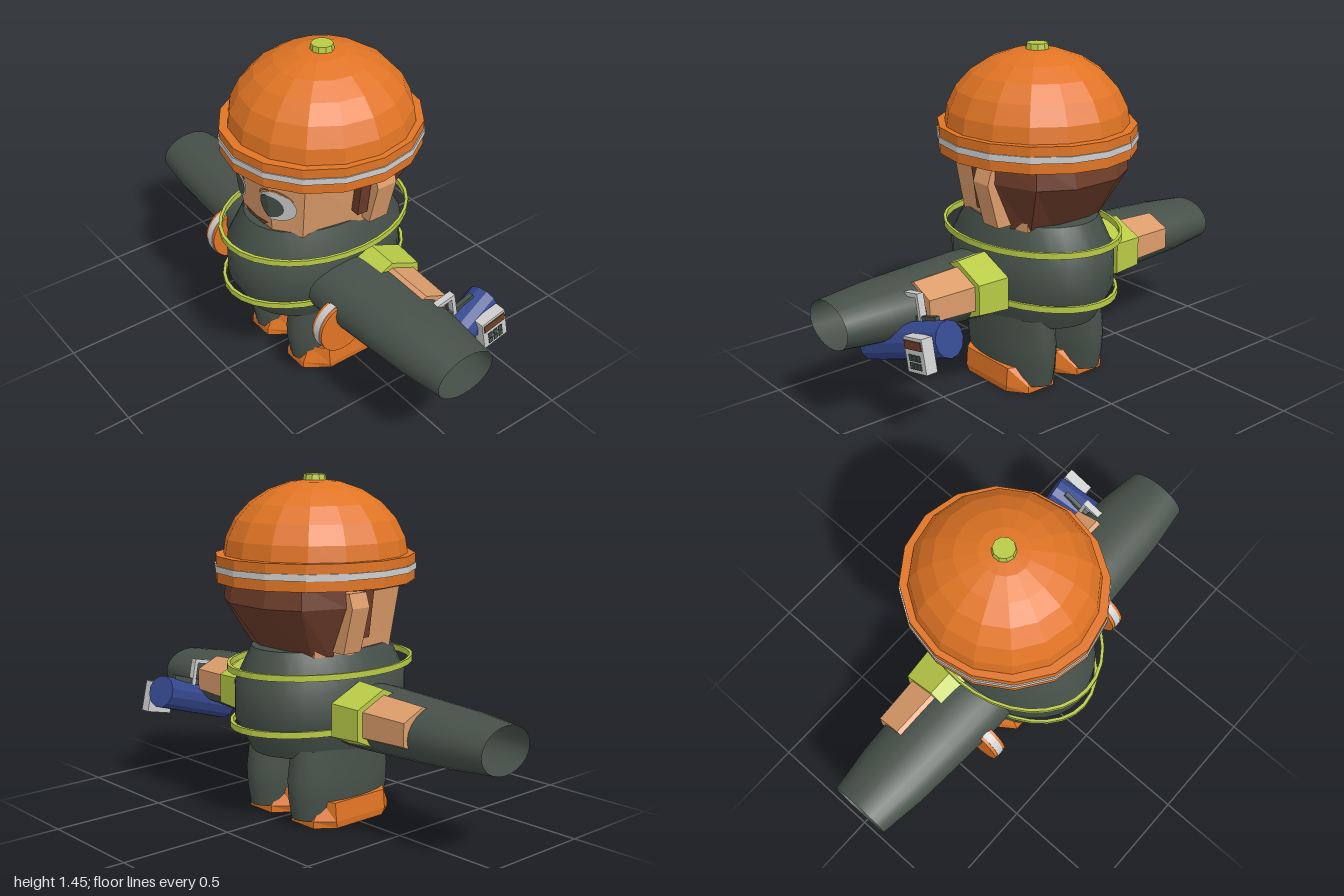
import * as THREE from 'three';

const mat = (name, color, side = THREE.FrontSide) => {
  const m = new THREE.MeshStandardMaterial({ color, side });
  m.name = name;
  return m;
};

// Hard-edged normals
const flat = (g) => {
  const n = g.index ? g.toNonIndexed() : g;
  n.computeVertexNormals();
  return n;
};

const lathe = (pts, seg) => new THREE.LatheGeometry(pts.map((p) => new THREE.Vector2(p[0], p[1])), seg);

// Loft of mirrored cross-sections: each ring is { y, half: [[x, z], ...] } from front to back
function loft(rings) {
  const full = rings.map(({ y, half }) =>
    [...half, ...half.slice().reverse().map(([x, z]) => [-x, z])].map(([x, z]) => [x, y, z]));
  const n = full[0].length, v = [];
  const tri = (a, b, c) => v.push(...a, ...b, ...c);
  for (let r = 0; r < full.length - 1; r++) {
    for (let i = 0; i < n; i++) {
      const j = (i + 1) % n;
      tri(full[r][i], full[r][j], full[r + 1][i]);
      tri(full[r][j], full[r + 1][j], full[r + 1][i]);
    }
  }
  const lo = full[0], hi = full[full.length - 1];
  for (let i = 1; i < n - 1; i++) {
    tri(lo[0], lo[i + 1], lo[i]);
    tri(hi[0], hi[i], hi[i + 1]);
  }
  const g = new THREE.BufferGeometry();
  g.setAttribute('position', new THREE.Float32BufferAttribute(v, 3));
  g.computeVertexNormals();
  return g;
}

// Cross-section of the head at height y
function headHalf(y, grow = 0) {
  const t = (y - 0.72) / 0.32;
  return [
    [0.10 + 0.02 * t + grow / 2, 0.31 + 0.035 * t + grow],
    [0.20 + 0.05 * t + grow, 0.23 + 0.02 * t + grow],
    [0.25 + 0.045 * t + grow, -0.04],
    [0.20 + 0.04 * t, -0.2],
  ];
}

// Lay a flat plate on the front of the face
function drape(g, lift) {
  const p = g.attributes.position;
  for (let i = 0; i < p.count; i++) {
    const x = Math.abs(p.getX(i));
    const [[xa, za], [xb, zb]] = headHalf(p.getY(i));
    p.setZ(i, lift + (x < xa ? za : za + ((zb - za) * (x - xa)) / (xb - xa)));
  }
  g.computeVertexNormals();
  return g;
}

export function createModel() {
  const model = new THREE.Group();
  const orange = mat('orange', 0xe07424), dark = mat('dark green', 0x465049, THREE.DoubleSide);
  const skin = mat('skin', 0xdc9c6a), brown = mat('brown', 0x6e3d2a);
  const silver = mat('silver', 0xcdcdcd), lime = mat('lime', 0xb8ca46);
  const blue = mat('blue', 0x34488f), brow = mat('brow', 0xb9713f);

  const add = (name, g, m, x = 0, y = 0, z = 0, parent = model) => {
    const mesh = new THREE.Mesh(g, m);
    mesh.name = name;
    mesh.position.set(x, y, z);
    parent.add(mesh);
    return mesh;
  };

  // Helmet
  const dome = [];
  for (let i = 0; i <= 6; i++) {
    const a = (i / 6) * Math.PI / 2;
    dome.push([0.385 * Math.cos(a), 1.1 + 0.328 * Math.sin(a)]);
  }
  add('helmetDome', flat(lathe(dome, 16).scale(1, 1, 1.03)), orange, 0, 0, -0.015);
  add('helmetRim', flat(lathe([[0, 1.03], [0.38, 1.01], [0.408, 1.01], [0.408, 1.12], [0.37, 1.12]], 16)
    .scale(1, 1, 1.06)), orange, 0, 0, -0.015);
  add('helmetStripe', flat(lathe([[0.4, 1.053], [0.413, 1.053], [0.413, 1.08], [0.4, 1.08]], 16)
    .scale(1, 1, 1.06)), silver, 0, 0, -0.015);
  add('helmetButton', flat(new THREE.CylinderGeometry(0.045, 0.052, 0.04, 10)), lime, 0, 1.427, -0.018);

  // Head and hair
  add('head', loft([0.72, 1.04].map((y) => ({ y, half: headHalf(y) }))), skin);
  add('fringe', loft([0.98, 1.03].map((y) => ({ y, half: headHalf(y, 0.012) }))), brown);
  add('hair', loft([
    { y: 0.70, half: [[0.20, -0.10], [0.22, -0.12], [0.18, -0.19], [0.08, -0.22]] },
    { y: 0.93, half: [[0.27, -0.12], [0.315, -0.13], [0.25, -0.31], [0.11, -0.39]] },
    { y: 1.03, half: [[0.27, -0.12], [0.31, -0.13], [0.24, -0.30], [0.11, -0.37]] },
  ]), brown);

  const mouth = new THREE.Shape([[-0.09, 0.772], [-0.05, 0.742], [0, 0.735], [0.05, 0.742], [0.09, 0.772], [0, 0.757]]
    .map((p) => new THREE.Vector2(...p)));
  add('mouth', drape(new THREE.ShapeGeometry(mouth), 0.005), brown);

  for (const s of [1, -1]) {
    const side = s > 0 ? 'left' : 'right';
    // Ears and sideburns
    const ear = new THREE.Shape([[0.22, 0.74], [0.3, 0.74], [0.35, 0.93], [0.33, 0.99], [0.22, 0.99]]
      .map(([x, y]) => new THREE.Vector2(s * x, y)));
    add(side + 'Ear', new THREE.ExtrudeGeometry(ear, { depth: 0.095, bevelEnabled: false }), skin, 0, 0, -0.13);
    const burn = add(side + 'Sideburn', new THREE.BoxGeometry(0.04, 0.22, 0.05), brown, s * 0.287, 0.905, -0.005);
    burn.rotation.z = -s * 0.14;

    // Eyes
    const disc = (rx, ry, x, y, lift) =>
      drape(new THREE.RingGeometry(0.001, 1, 24, 6).scale(rx, ry, 1).translate(s * x, y, 0), lift);
    add(side + 'EyeWhite', disc(0.075, 0.073, 0.128, 0.872, 0.005), silver);
    add(side + 'Iris', disc(0.052, 0.056, 0.11, 0.87, 0.009), dark);
    add(side + 'Brow', drape(new THREE.RingGeometry(0.9, 1, 16, 1, 0.5, 2.14).scale(0.085, 0.09, 1)
      .translate(s * 0.125, 0.87, 0), 0.006), brow);

    // Sleeve: open tapering tube
    const tube = lathe([[0.135, 0.2], [0.135, 0.35], [0.127, 0.55], [0.116, 0.8], [0.097, 1]], 24);
    tube.scale(1, 1, 1.45).rotateZ(-s * Math.PI / 2);
    add(side + 'Sleeve', tube, dark, 0, 0.458, 0.045);

    // Forearm and cuff
    const prism = (r1, r2, h, wide) => flat(new THREE.CylinderGeometry(r1, r2, h, 6)
      .rotateY(Math.PI / 6).scale(1, 1, wide).rotateZ(-s * Math.PI / 2));
    add(side + 'Cuff', prism(0.128, 0.138, 0.14, 1.3), lime, s * 0.375, 0.483, -0.045);
    add(side + 'Forearm', prism(0.095, 0.108, 0.3, 1.3), skin, s * 0.51, 0.483, -0.045);

    // Orange wheel with a pale stripe around its edge
    const wheel = (r, w) => new THREE.CylinderGeometry(r, r, w, 24).rotateZ(Math.PI / 2);
    add(side + 'Wheel', wheel(0.115, 0.062), orange, s * 0.402, 0.385, 0.197);
    add(side + 'WheelStripe', wheel(0.118, 0.034), silver, s * 0.402, 0.385, 0.197);

    // Legs and boots
    add(side + 'Leg', lathe([[0, 0.03], [0.245, 0.03], [0.245, 0.03], [0.262, 0.12], [0.266, 0.2], [0.25, 0.33]], 24)
      .scale(0.46, 1, 1), dark, s * 0.135, 0, -0.005);
    add(side + 'Boot', loft([
      { y: 0, half: [[0.06, 0.232], [0.13, 0.13], [0.13, -0.13], [0.07, -0.21]] },
      { y: 0.03, half: [[0.06, 0.23], [0.135, 0.14], [0.135, -0.14], [0.07, -0.21]] },
      { y: 0.11, half: [[0.06, 0.2], [0.128, 0.14], [0.128, -0.14], [0.07, -0.165]] },
    ]), orange, s * 0.137, 0, 0);
  }

  // Torso with two raised hoops
  add('torso', lathe([[0, 0.295], [0.33, 0.295], [0.33, 0.295], [0.41, 0.44], [0.41, 0.59], [0.33, 0.74], [0.33, 0.74], [0, 0.74]], 32)
    .scale(0.74, 1, 1), dark, 0, 0, 0.02);
  const hoop = (name, rx, y) => add(name, flat(lathe(
    [[0.425, 0], [0.44, 0], [0.44, 0.026], [0.425, 0.026], [0.425, 0]], 32).scale(rx / 0.44, 1, 1)), lime, 0, y, 0.02);
  hoop('upperHoop', 0.34, 0.642);
  hoop('lowerHoop', 0.305, 0.404);
  add('seatPatch', new THREE.BoxGeometry(0.06, 0.04, 0.1), orange, 0, 0.285, -0.11);

  // Blue canister carried on the left hand
  const front = new THREE.Vector3(0.78, 0.31, 0.08), back = new THREE.Vector3(0.70, 0.445, -0.335);
  const axis = back.clone().sub(front);
  const mid = front.clone().add(back).multiplyScalar(0.5);
  const can = add('canister', flat(new THREE.CylinderGeometry(0.074, 0.074, axis.length(), 12)), blue, mid.x, mid.y, mid.z);
  can.quaternion.setFromUnitVectors(new THREE.Vector3(0, 1, 0), axis.normalize());

  // Gauge plate with a small grid
  const gauge = new THREE.Group();
  gauge.name = 'gauge';
  gauge.position.set(0.8, 0.395, -0.283);
  gauge.rotation.x = 0.22;
  model.add(gauge);
  add('gaugePlate', new THREE.BoxGeometry(0.05, 0.14, 0.125), silver, 0, 0, 0, gauge);
  add('gaugeLabel', new THREE.BoxGeometry(0.008, 0.035, 0.11), brown, 0.025, 0.04, 0, gauge);
  for (let i = 0; i < 3; i++) {
    for (let j = 0; j < 2; j++) {
      add('gaugeCell', new THREE.BoxGeometry(0.008, 0.025, 0.02), dark, 0.025, -0.042 + j * 0.032, (i - 1) * 0.027, gauge);
    }
  }

  // Canister handle and bracket
  const handle = add('handle', new THREE.BoxGeometry(0.02, 0.025, 0.17), dark, 0.7, 0.475, -0.18);
  handle.rotation.x = 0.3;
  for (const [y, z, h, d] of [[0.55, -0.08, 0.018, 0.14], [0.49, -0.155, 0.13, 0.018], [0.5, -0.01, 0.1, 0.018]]) {
    add('bracket', new THREE.BoxGeometry(0.03, h, d), silver, 0.7, y, z).rotation.x = 0.2;
  }
  return model;
}
